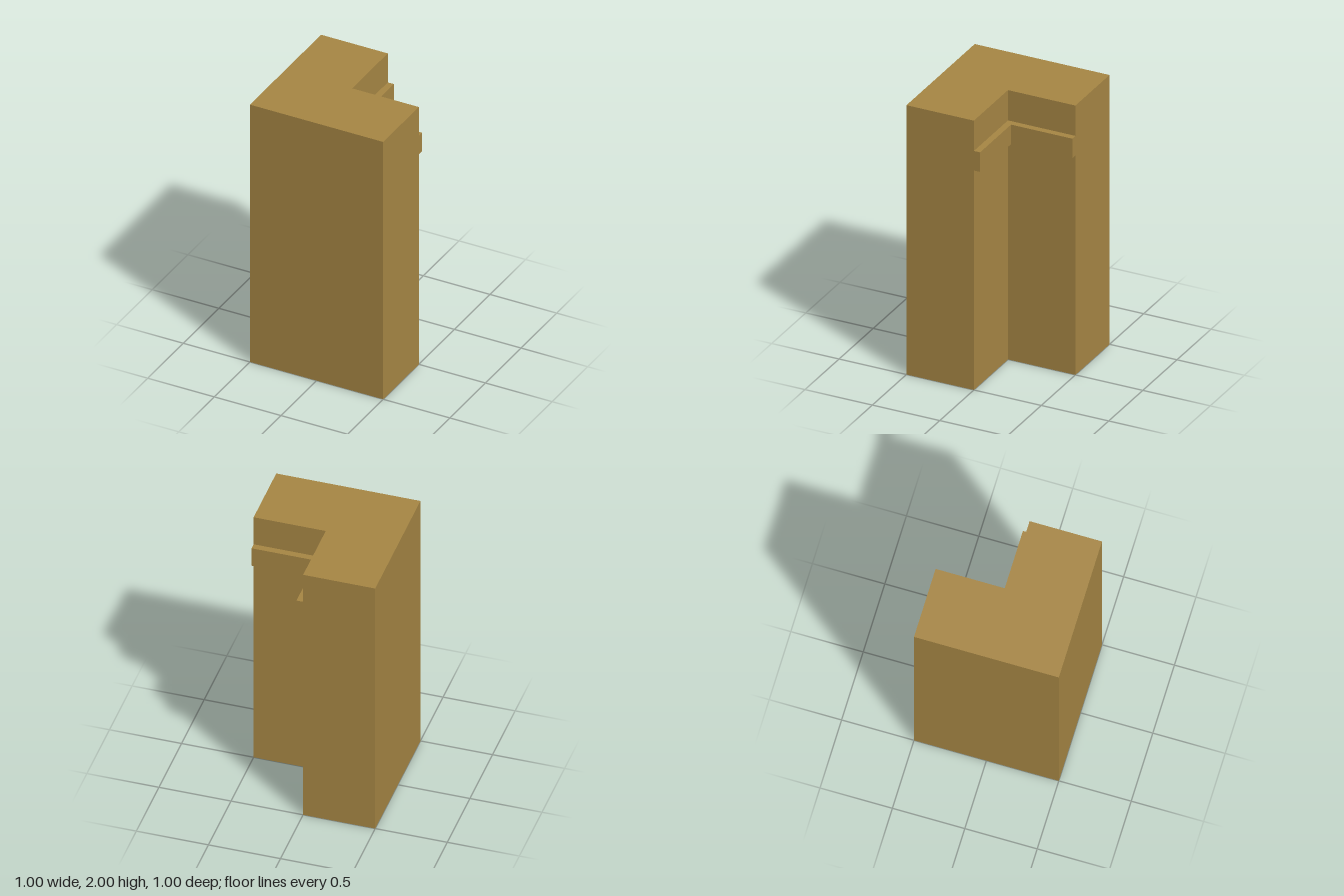
import * as THREE from 'three';

// Extrudes a plan outline, given as [x, z] points, from height y0 to y1
function prism(name, plan, y0, y1, material) {
  const shape = new THREE.Shape(plan.map(([x, z]) => new THREE.Vector2(x, -z)));
  const geometry = new THREE.ExtrudeGeometry(shape, { depth: y1 - y0, bevelEnabled: false });
  geometry.rotateX(-Math.PI / 2).translate(0, y0, 0);
  const mesh = new THREE.Mesh(geometry, material);
  mesh.name = name;
  return mesh;
}

export function createModel() {
  const group = new THREE.Group();
  group.name = 'cornerWall';
  const ochre = new THREE.MeshStandardMaterial({ name: 'ochre', color: 0xa68644 });

  // L-shaped wall, open at the back left corner
  const wallPlan = [[-0.5, 0.5], [0.5, 0.5], [0.5, 0], [0, 0], [0, -0.5], [-0.5, -0.5]];
  group.add(prism('wall', wallPlan, 0, 2, ochre));

  // Raised band running round the inside corner
  const d = 0.046;
  const bandPlan = [[0, 0], [0.5, 0], [0.5, -d], [d, -d], [d, -0.5], [0, -0.5]];
  group.add(prism('trimBand', bandPlan, 1.63, 1.775, ochre));

  return group;
}
